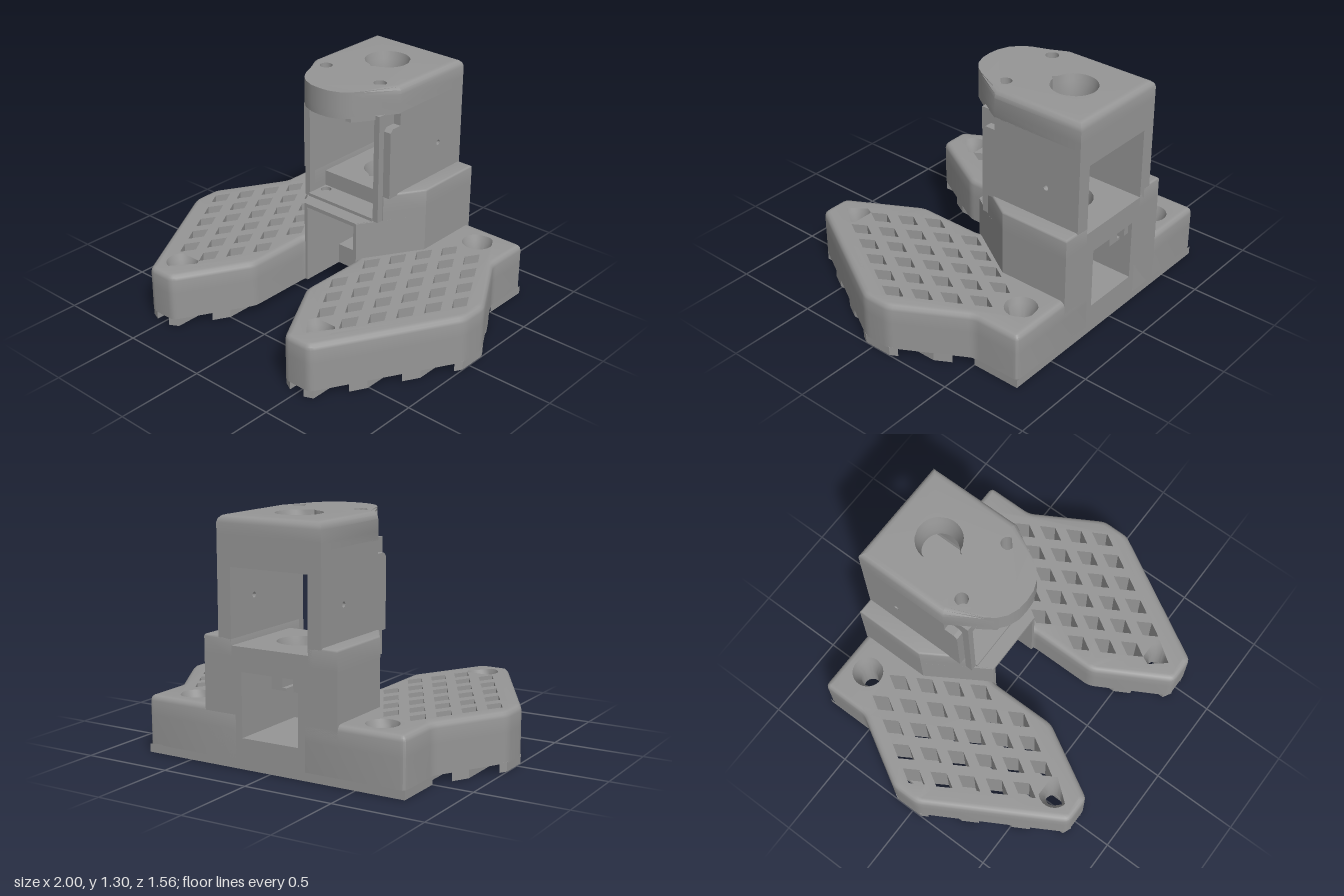
import * as THREE from 'three';
import { toCreasedNormals } from 'three/addons/utils/BufferGeometryUtils.js';

const grey = new THREE.MeshStandardMaterial({ color: 0x969696 });
grey.name = 'grey plastic';

const key = (x, y) => x.toFixed(4) + ',' + y.toFixed(4);
const v2 = (x, z) => new THREE.Vector2(x, -z); // plan point: shape y is -z

// Replace each corner of an outline of [x, z] points by a short arc
function rounded(points, r) {
  const out = [];
  points.forEach((p, i) => {
    const a = points[(i + points.length - 1) % points.length];
    const b = points[(i + 1) % points.length];
    const toward = (q) => {
      const t = Math.min(r / Math.hypot(q[0] - p[0], q[1] - p[1]), 0.4);
      return [p[0] + (q[0] - p[0]) * t, p[1] + (q[1] - p[1]) * t];
    };
    const s = toward(a), e = toward(b);
    for (let k = 0; k <= 3; k++) {
      const t = k / 3, u = 1 - t;
      out.push([0, 1].map((c) => u * u * s[c] + 2 * u * t * p[c] + t * t * e[c]));
    }
  });
  return out;
}

// Anticlockwise outline moved inward by d with mitred corners
function inset(pts, d) {
  const n = pts.length;
  const normal = (a, b) => new THREE.Vector2(a.y - b.y, b.x - a.x).normalize();
  return pts.map((p, i) => {
    const n1 = normal(pts[(i + n - 1) % n], p), n2 = normal(p, pts[(i + 1) % n]);
    return p.clone().add(n1.clone().add(n2).multiplyScalar(d / (1 + n1.dot(n2))));
  });
}

// Upright slab: plan outline, holes {pts, centre, flare}, rounded top rim
function slab(outline, y0, y1, { holes = [], rim = 0, rimBefore = Infinity } = {}) {
  const pts = outline.map(([x, z]) => v2(x, z));
  if (THREE.ShapeUtils.isClockWise(pts)) pts.reverse();
  const shape = new THREE.Shape(pts);
  const moves = new Map();
  holes.forEach((h) => {
    const hp = h.pts.map(([x, z]) => v2(x, z));
    shape.holes.push(new THREE.Path(hp));
    if (!h.flare) return;
    const c = v2(...h.centre);
    hp.forEach((p) => {
      const d = p.clone().sub(c);
      const target = c.clone().addScaledVector(d.clone().normalize(), Math.max(h.flare, d.length()));
      moves.set(key(p.x, p.y), { target, flare: true });
    });
  });
  if (rim) inset(pts, rim).forEach((target, i) => {
    if (-pts[i].y < rimBefore) moves.set(key(pts[i].x, pts[i].y), { target });
  });
  const plain = !moves.size;
  const depth = Math.min(0.11, (y1 - y0) * 0.7);
  const arcs = [0, 30, 60, 90].map((a) => a * Math.PI / 180);
  const levels = plain ? [y0, y1] : [y0, y1 - depth, ...arcs.map((a) => y1 - rim + rim * Math.sin(a))];
  const pull = [0, 0, ...arcs.map((a) => 1 - Math.cos(a))];
  const steps = levels.length - 1;
  const g = new THREE.ExtrudeGeometry(shape, { depth: 1, steps, bevelEnabled: false });
  const pos = g.attributes.position;
  for (let i = 0; i < pos.count; i++) {
    const k = Math.round(pos.getZ(i) * steps);
    let x = pos.getX(i), y = pos.getY(i);
    const m = moves.get(key(x, y));
    if (m) {
      const t = m.flare ? Math.max(0, (levels[k] - y1 + depth) / depth) : pull[k];
      x += (m.target.x - x) * t;
      y += (m.target.y - y) * t;
    }
    pos.setXYZ(i, x, levels[k], -y);
  }
  g.computeVertexNormals();
  return toCreasedNormals(g, plain ? 0.4 : 0.55);
}

// Side panel from a [z, y] profile, between x0 and x1, with a small pin hole
function panel(profile, x0, x1) {
  const shape = new THREE.Shape(profile.map(([z, y]) => new THREE.Vector2(-z, y)));
  shape.holes.push(new THREE.Path().absarc(0.575, 0.87, 0.015, 0, Math.PI * 2));
  const g = new THREE.ExtrudeGeometry(shape, { depth: x1 - x0, bevelEnabled: false, curveSegments: 6 });
  return g.rotateY(Math.PI / 2).translate(x0, 0, 0);
}

function block(x0, x1, y0, y1, z0, z1) {
  return new THREE.BoxGeometry(x1 - x0, y1 - y0, z1 - z0)
    .translate((x0 + x1) / 2, (y0 + y1) / 2, (z0 + z1) / 2);
}

// Teardrop hole whose tip points to the front
function teardrop(x, z, r, flare) {
  const pts = [];
  for (let i = 0; i < 36; i++) {
    const a = i * Math.PI / 18;
    const off = Math.min(a, 2 * Math.PI - a); // angle away from the tip
    const d = off < Math.PI / 4 ? r / Math.cos(Math.PI / 4 - off) : r;
    pts.push([x + d * Math.sin(a), z + d * Math.cos(a)]);
  }
  return { pts, centre: [x, z], flare };
}

function roundHole(x, z, r) {
  const pts = [];
  for (let i = 0; i < 16; i++) pts.push([x + r * Math.cos(i * Math.PI / 8), z + r * Math.sin(i * Math.PI / 8)]);
  return { pts };
}

export function createModel() {
  const model = new THREE.Group();
  model.name = 'bracketStand';
  const add = (name, geometry, parent = model) => {
    const mesh = new THREE.Mesh(geometry, grey);
    mesh.name = name;
    parent.add(mesh);
  };

  const pad = [[0.18, -0.78], [0.775, -0.78], [0.775, -0.5], [1, -0.11], [1, 0.05],
    [0.585, 0.78], [0.42, 0.78], [0.19, 0.37], [0.19, -0.02], [0.18, -0.05]];
  // Depth range of the pad at a given x
  const span = (x) => {
    const zs = [];
    pad.forEach((a, i) => {
      const b = pad[(i + 1) % pad.length];
      if ((a[0] - x) * (b[0] - x) <= 0 && a[0] !== b[0]) {
        zs.push(a[1] + (b[1] - a[1]) * (x - a[0]) / (b[0] - a[0]));
      }
    });
    return [Math.min(...zs), Math.max(...zs)];
  };
  // Diamond lattice: first x and count for each row
  const rows = [[0.511, 2], [0.435, 3], [0.359, 4], [0.283, 5], [0.359, 4], [0.283, 4], [0.359, 3], [0.435, 2]];

  for (const s of [1, -1]) {
    const side = new THREE.Group();
    side.name = s > 0 ? 'leftSide' : 'rightSide';
    model.add(side);
    const flip = (pts) => pts.map(([x, z]) => [s * x, z]);
    const mirrorPanel = (p, x0, x1) => (s > 0 ? panel(p, x0, x1) : panel(p, -x1, -x0));

    // Perforated foot pad with countersunk screw holes
    const holes = [teardrop(s * 0.57, -0.635, 0.048, 0.087), teardrop(s * 0.5, 0.62, 0.048, 0.087)];
    rows.forEach(([x0, count], j) => {
      const z = -0.45 + 0.133 * j;
      for (let k = 0; k < count; k++) {
        const x = s * (x0 + 0.152 * k);
        holes.push({ pts: [[x, z - 0.077], [x + 0.046, z], [x, z + 0.077], [x - 0.046, z]] });
      }
    });
    add('footPad', slab(flip(rounded(pad, 0.03)), 0.045, 0.315, { holes, rim: 0.032 }), side);

    // Grip ribs under the pad, one stopping short of the rear screw hole
    for (let k = 0; k < 6; k++) {
      const c = 0.287 + 0.1425 * k;
      const a = c - 0.025, b = Math.min(c + 0.025, 0.998);
      const [a0, a1] = span(a), [b0, b1] = span(b);
      const back = k === 2 ? -0.56 : -0.78;
      add('gripRib', slab(flip([[a, Math.max(a0, back)], [b, Math.max(b0, back)], [b, b1], [a, a1]]), 0, 0.05), side);
    }

    // Outward-facing skirt at the side of the heel
    add('heelSkirt', new THREE.PlaneGeometry(0.28, 0.046).rotateY(s * Math.PI / 2)
      .translate(s * 0.775, 0.023, -0.64), side);

    // Lower column, stepped at the front
    add('lowerColumn', slab(flip([[0.17, -0.78], [0.4, -0.78], [0.4, -0.37], [0.19, -0.03], [0.17, -0.03]]),
      0.045, 0.53), side);
    add('columnShoulder', slab(flip([[0.23, -0.78], [0.4, -0.78], [0.4, -0.37], [0.27, -0.16], [0.23, -0.16]]),
      0.53, 0.685, { rim: 0.012 }), side);

    // Upper wall: inner sheet and thicker outer skin
    add('innerWall', mirrorPanel([[-0.78, 0.53], [-0.12, 0.53], [-0.12, 1.155], [-0.78, 1.155]], 0.23, 0.265), side);
    add('outerWall', mirrorPanel([[-0.78, 0.675], [-0.16, 0.675], [-0.16, 1.06], [-0.18, 1.08],
      [-0.24, 1.08], [-0.24, 1.155], [-0.78, 1.155]], 0.265, 0.31), side);
    add('capLip', slab(flip([[0.13, -0.2], [0.24, -0.2], [0.24, -0.125], [0.2, -0.06], [0.165, -0.01], [0.13, -0.005]]),
      1.13, 1.16), side);
  }

  // Floor between the pads and the skirt below the back edge
  add('centreFloor', block(-0.18, 0.18, 0.045, 0.165, -0.78, -0.3));
  add('backSkirt', new THREE.PlaneGeometry(1.55, 0.046).rotateY(Math.PI).translate(0, 0.023, -0.78));

  // Middle shelf with its lower front ledge
  add('shelf', slab([[-0.23, -0.78], [0.23, -0.78], [0.23, -0.25], [-0.23, -0.25]], 0.51, 0.64,
    { holes: [teardrop(0, -0.5, 0.1, 0.12)] }));
  add('shelfLedge', slab([[-0.23, -0.25], [0.23, -0.25], [0.23, -0.11], [-0.23, -0.11]], 0.51, 0.55,
    { holes: [roundHole(0.19, -0.21, 0.03), roundHole(-0.19, -0.21, 0.03)] }));
  add('ledgeFront', slab([[-0.23, -0.11], [0.23, -0.11], [0.185, -0.03], [-0.185, -0.03]], 0.51, 0.532));

  // Cable clip under the shelf
  add('clipJaw', block(-0.165, -0.13, 0.44, 0.515, -0.76, -0.64));
  add('clipJaw', block(-0.065, 0, 0.44, 0.515, -0.76, -0.64));
  add('clipFoot', block(-0.09, 0, 0.44, 0.455, -0.76, -0.64));

  // Top cap with rounded nose, teardrop opening and two screw holes
  const half = [[0.31, -0.78], [0.31, -0.24], [0.2, -0.06], [0.165, -0.01], [0.12, 0.027], [0.06, 0.05]];
  const cap = [...half, [0, 0.055], ...half.map(([x, z]) => [-x, z]).reverse()];
  add('topCap', slab(cap, 1.15, 1.3, {
    rim: 0.04, rimBefore: -0.2,
    holes: [teardrop(0, -0.5, 0.1, 0.125), roundHole(0.19, -0.21, 0.036), roundHole(-0.19, -0.21, 0.036)],
  }));
  add('backHeader', block(-0.23, 0.23, 1.04, 1.155, -0.78, -0.72));

  return model;
}
